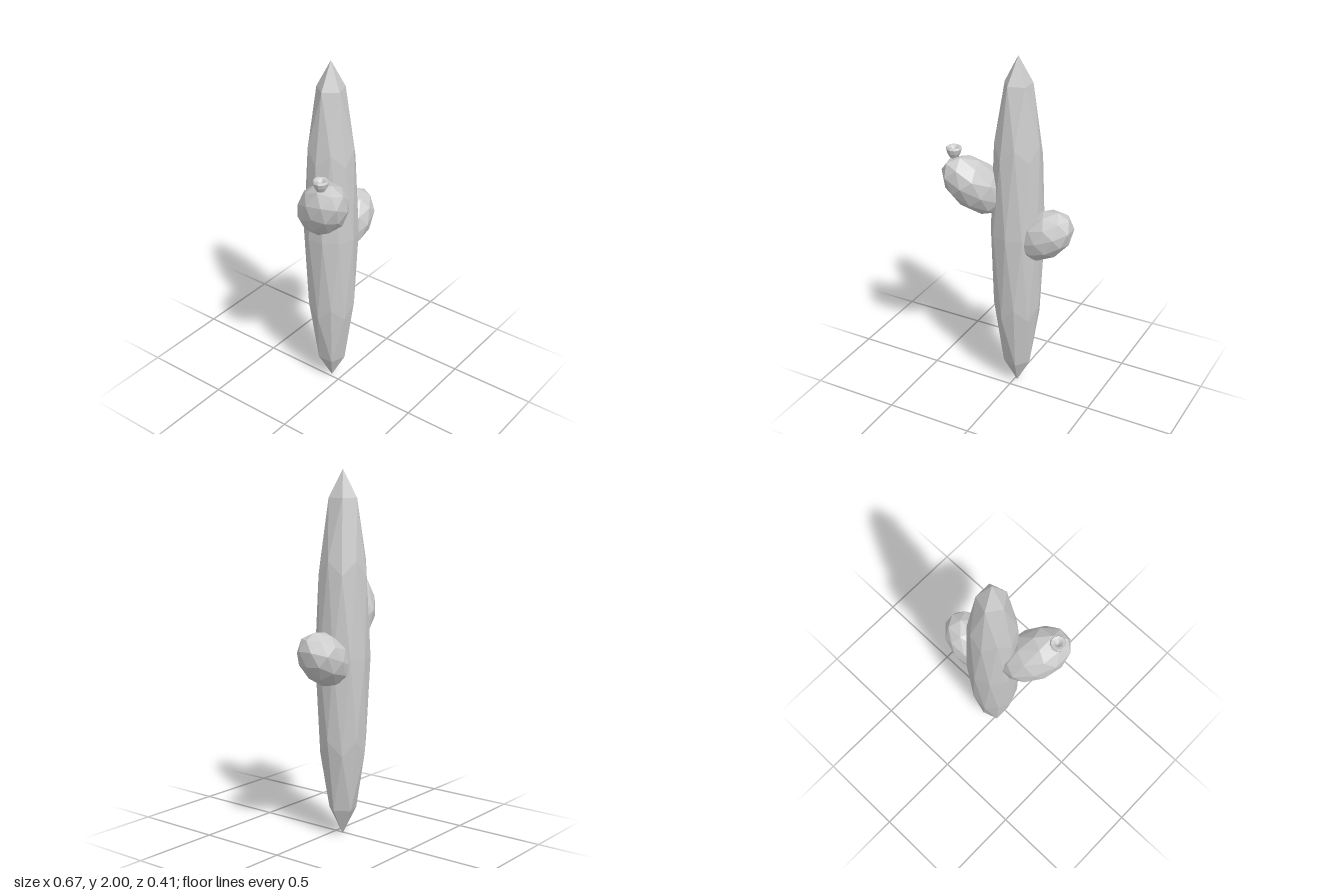
import * as THREE from 'three';

const material = new THREE.MeshStandardMaterial({ color: 0xcccccc, flatShading: true });

// Low-poly ball with a corner at each pole, stretched along y
function ballGeometry(radius, halfLength) {
  const geometry = new THREE.IcosahedronGeometry(1, 1);
  geometry.rotateX(-Math.atan((1 + Math.sqrt(5)) / 2));
  geometry.rotateY(-Math.PI / 2);
  geometry.scale(radius, halfLength, radius);
  geometry.computeVertexNormals();
  return geometry;
}

// Stretched ball placed at a centre, with its long axis along a direction
function lobe(name, radius, halfLength, centre, axis = [0, 1, 0]) {
  const mesh = new THREE.Mesh(ballGeometry(radius, halfLength), material);
  mesh.name = name;
  mesh.position.set(...centre);
  mesh.quaternion.setFromUnitVectors(
    new THREE.Vector3(0, 1, 0),
    new THREE.Vector3(...axis).normalize()
  );
  return mesh;
}

export function createModel() {
  const group = new THREE.Group();
  group.name = 'cactus';

  // Tall pointed trunk and its two side lobes
  group.add(lobe('trunk', 0.15, 1, [0.017, 1, -0.06]));
  group.add(lobe('rightArm', 0.135, 0.228, [-0.185, 1.272, 0.042], [-0.45, 0.68, 0.57]));
  group.add(lobe('leftArm', 0.13, 0.187, [0.18, 1.007, -0.062], [0.77, 0.64, 0]));

  // Small cup-shaped bud with a dented top
  const profile = [
    [0, -0.035], [0.022, -0.03], [0.036, -0.005], [0.043, 0.02],
    [0.037, 0.03], [0.024, 0.026], [0, 0.004],
  ].map(([r, y]) => new THREE.Vector2(r, y));
  const bud = new THREE.Mesh(new THREE.LatheGeometry(profile, 10), material);
  bud.name = 'flowerBud';
  bud.position.set(-0.28, 1.47, 0.102);
  group.add(bud);

  return group;
}
